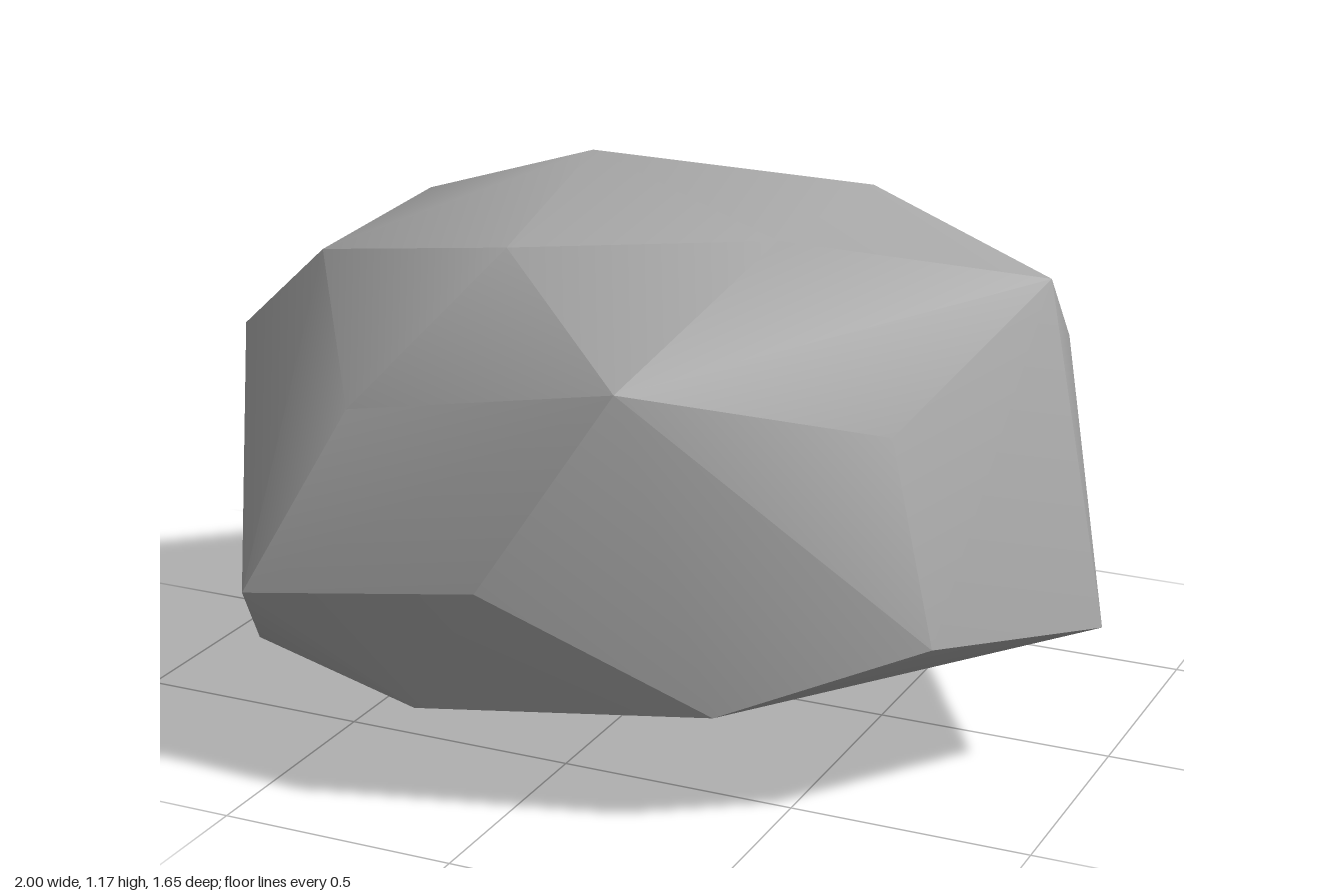
import * as THREE from 'three';
import { ConvexGeometry } from 'three/addons/geometries/ConvexGeometry.js';
import { toCreasedNormals } from 'three/addons/utils/BufferGeometryUtils.js';

// Corner points of the boulder, grouped in rings from the ground up
const base = [
  [-0.91, 0, 0.11], [-0.77, 0.12, 0.43], [-0.25, 0.15, 0.68], [0.4, 0.24, 0.66],
  [0.78, 0.38, 0.48], [1, 0.32, 0.09], [0.78, 0.33, -0.29], [0.34, 0.17, -0.58],
  [-0.35, 0.055, -0.655], [-0.8, 0.06, -0.28],
];
const waist = [
  [-1, 0.3, 0.07], [-0.57, 0.39, 0.8], [-0.03, 0.485, 0.825], [0.55, 0.49, -0.675],
  [-0.03, 0.385, -0.83], [-0.9, 0.47, -0.34],
];
const shoulder = [
  [-1, 0.7, 0.07], [-0.38, 0.77, 0.69], [0.22, 0.89, 0.72], [0.67, 0.78, 0.43],
  [0.77, 0.78, -0.35], [-0.43, 0.735, -0.64],
];
const crown = [
  [-0.65, 0.97, 0.31], [-0.13, 1.075, 0.475], [0.37, 1.1, 0.29], [0.855, 1.02, 0.055],
  [0.38, 1.1, -0.2], [-0.685, 0.975, -0.22], [-0.15, 1.175, 0.045],
];

export function createModel() {
  const group = new THREE.Group();
  group.name = 'rock';

  const stone = new THREE.MeshStandardMaterial({ color: 0xaaaaaa });
  stone.name = 'grey stone';

  // Faceted boulder: sharp ridges stay hard, shallow ones blend
  const points = [...base, ...waist, ...shoulder, ...crown].map((p) => new THREE.Vector3(...p));
  const geometry = toCreasedNormals(new ConvexGeometry(points), THREE.MathUtils.degToRad(30));
  const boulder = new THREE.Mesh(geometry, stone);
  boulder.name = 'boulder';
  group.add(boulder);

  return group;
}
